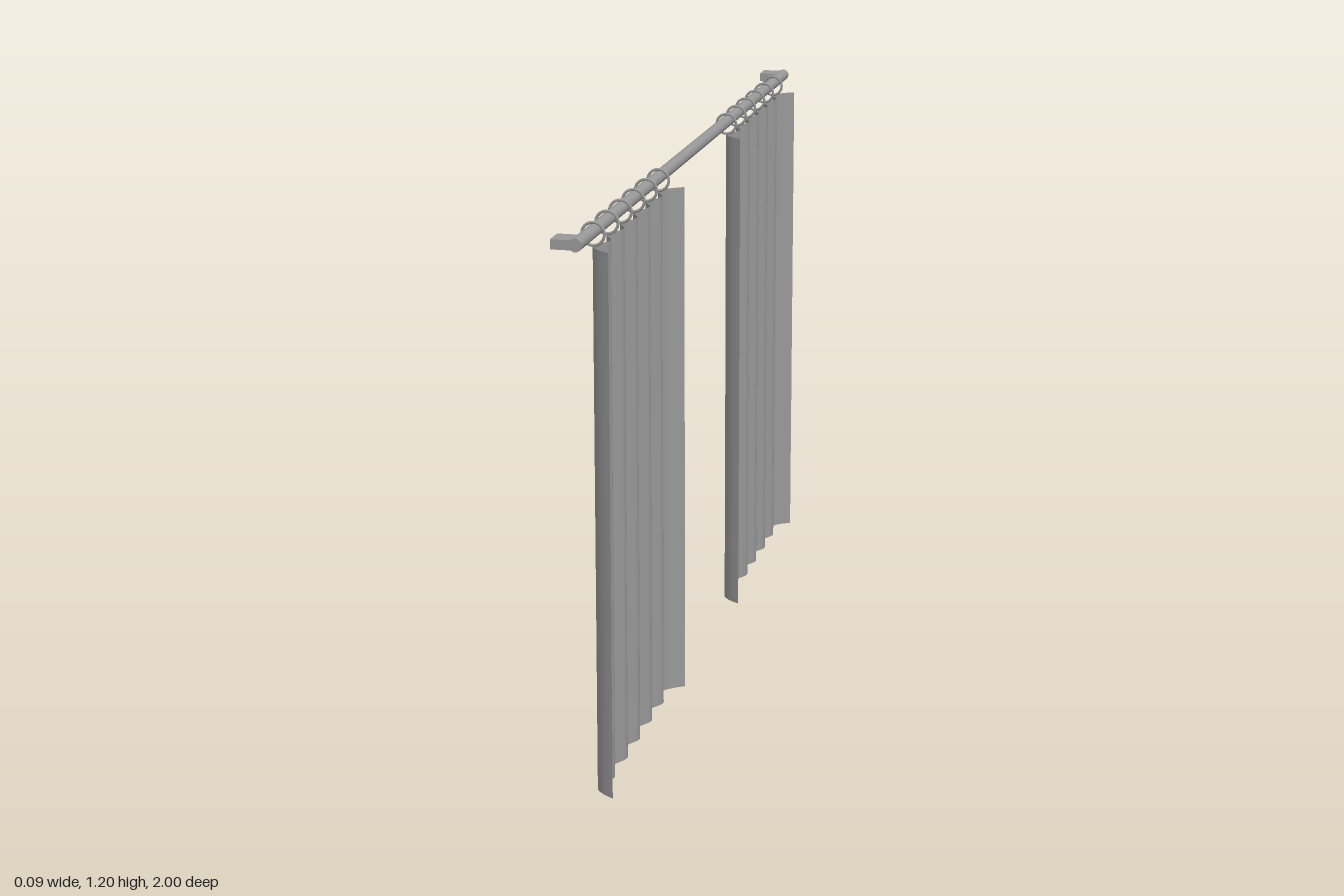
import * as THREE from 'three';

const AXIS_X = 0.0025, ROD_Y = 1.18;
const INNER = 0.28, OUTER = 0.92, HEIGHT = 1.15;
const WIDTH = OUTER - INNER;
const FOLDS = 6, PITCH = WIDTH / FOLDS;
const FOLD_DEPTH = 0.021, FLARE = 0.045;

// Depth of the cloth at distance d along a panel: shallow waves, flaring out at both ends
function clothDepth(d) {
  const fromEnd = Math.min(d, WIDTH - d);
  if (fromEnd < PITCH / 2) return FLARE * (1 - fromEnd / (PITCH / 2)) ** 2;
  return (FOLD_DEPTH / 2) * (1 + Math.cos((d / PITCH) * Math.PI * 2));
}

export function createModel() {
  const model = new THREE.Group();
  const metal = new THREE.MeshStandardMaterial({ color: 0x999999 });
  const cloth = new THREE.MeshStandardMaterial({ color: 0x999999, side: THREE.DoubleSide });

  const add = (name, geometry, material, x, y, z) => {
    const mesh = new THREE.Mesh(geometry, material);
    mesh.name = name;
    mesh.position.set(x, y, z);
    model.add(mesh);
  };

  // Rod along z
  add('rod', new THREE.CylinderGeometry(0.0135, 0.0135, 2, 24).rotateX(Math.PI / 2), metal, AXIS_X, ROD_Y, 0);

  // Pleated sheet: a plane facing +x, pushed into folds
  const panel = new THREE.PlaneGeometry(WIDTH, HEIGHT, FOLDS * 16, 1).rotateY(Math.PI / 2);
  const pos = panel.attributes.position;
  for (let i = 0; i < pos.count; i++) pos.setX(i, clothDepth(pos.getZ(i) + WIDTH / 2));
  panel.computeVertexNormals();

  const ring = new THREE.TorusGeometry(0.0232, 0.003, 8, 32);
  const bracket = new THREE.BoxGeometry(0.05, 0.02, 0.052);

  for (const [side, s] of [['front', 1], ['back', -1]]) {
    // Wall bracket at the end of the rod
    add(side + 'Bracket', bracket, metal, AXIS_X - 0.025, ROD_Y, s * 0.974);
    // Curtain panel
    add(side + 'Curtain', panel, cloth, AXIS_X, HEIGHT / 2, s * (INNER + OUTER) / 2);
    // One ring at the inner crest of each fold
    for (let i = 0; i < FOLDS; i++) {
      add(side + 'Ring' + (i + 1), ring, metal, AXIS_X, 1.174, s * (INNER + PITCH * (i + 0.5)));
    }
  }
  return model;
}
